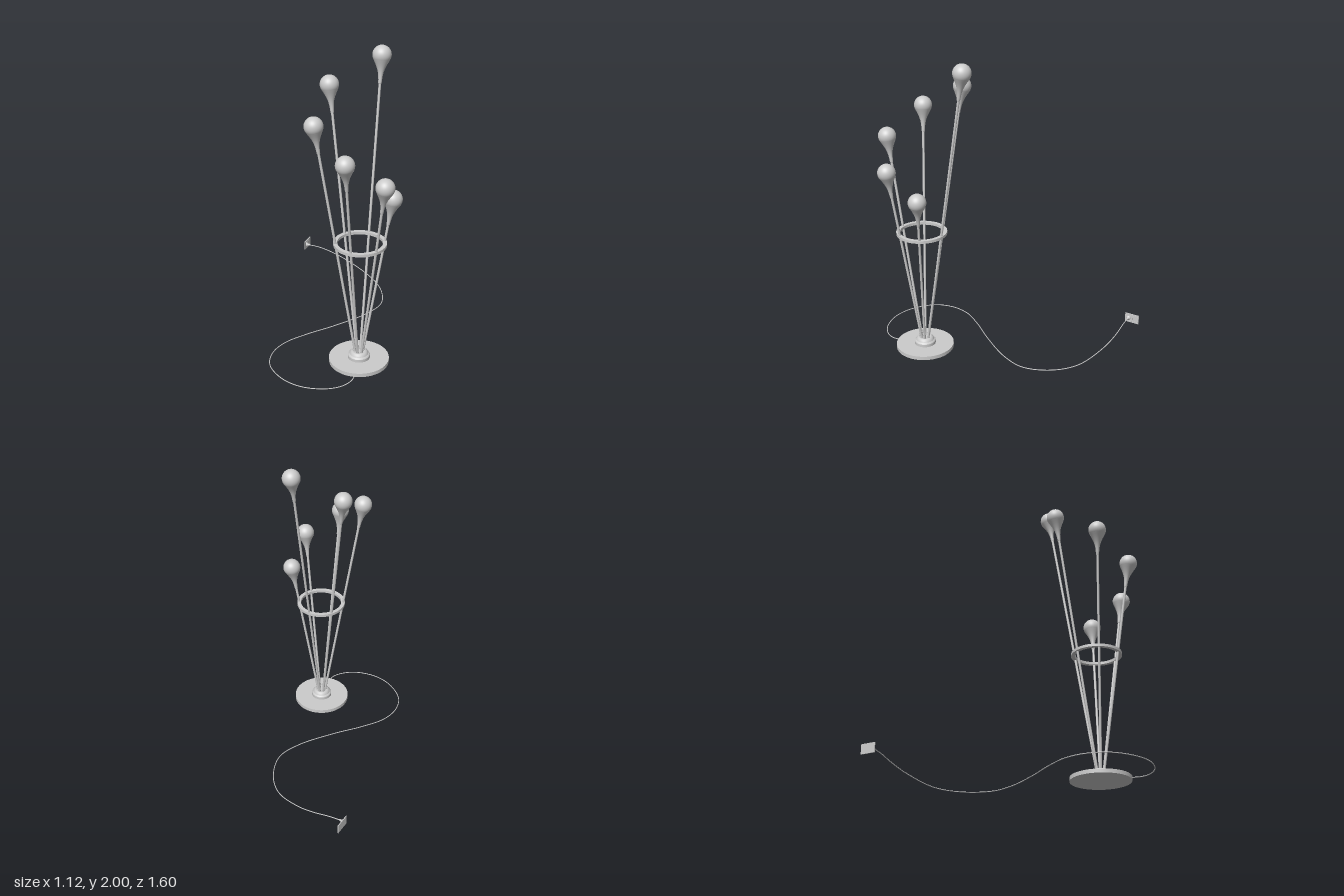
import * as THREE from 'three';

const grey = new THREE.MeshStandardMaterial({ color: 0xcccccc });
const greyDouble = new THREE.MeshStandardMaterial({ color: 0xcccccc, side: THREE.DoubleSide });

function add(parent, name, geometry, x = 0, y = 0, z = 0, material = grey) {
  const mesh = new THREE.Mesh(geometry, material);
  mesh.name = name;
  mesh.position.set(x, y, z);
  parent.add(mesh);
  return mesh;
}

// Lathe with crisp edges: each profile segment is listed as separate runs of points
function lathe(parent, name, runs, segments = 48) {
  const group = new THREE.Group();
  group.name = name;
  for (const run of runs) {
    const points = run.map(([r, y]) => new THREE.Vector2(r, y));
    add(group, name + 'Surface', new THREE.LatheGeometry(points, segments), 0, 0, 0, greyDouble);
  }
  parent.add(group);
  return group;
}

const TILT = Math.atan(0.163);
const BULB_RADIUS = 0.058;

// One leaning stem with its flared holder and globe
function makeStem(index) {
  const foot = 0.06, footRadius = 0.024;
  const height = 1.945 - index * 0.163;
  const length = (height - foot) / Math.cos(TILT);
  const angle = Math.PI / 2 + index * Math.PI / 3;

  const stem = new THREE.Group();
  stem.name = 'stem' + (index + 1);
  stem.position.set(footRadius * Math.cos(angle), foot, -footRadius * Math.sin(angle));
  stem.rotation.set(0, angle, -TILT, 'YXZ');

  add(stem, 'rod', new THREE.CylinderGeometry(0.008, 0.008, length - 0.1, 16), 0, (length - 0.1) / 2, 0);

  const holder = lathe(stem, 'flaredHolder', [[
    [0.008, -0.175], [0.0105, -0.172], [0.0115, -0.15], [0.014, -0.125], [0.019, -0.1],
    [0.027, -0.077], [0.037, -0.055], [0.045, -0.04], [0.051, -0.028],
  ]], 32);
  holder.position.y = length;

  add(stem, 'globe', new THREE.SphereGeometry(BULB_RADIUS, 32, 24), 0, length, 0);
  return stem;
}

function makeLamp() {
  const lamp = new THREE.Group();
  lamp.name = 'floorLamp';
  lamp.position.set(0.303, 0, 0.381);

  add(lamp, 'basePlate', new THREE.CylinderGeometry(0.193, 0.193, 0.025, 64), 0, 0.0145, 0);

  // Stepped hub that gathers the stems
  lathe(lamp, 'hub', [
    [[0.071, 0.026], [0.071, 0.046]],
    [[0.071, 0.046], [0.068, 0.052], [0.06, 0.056]],
    [[0.06, 0.056], [0.056, 0.066], [0.049, 0.073], [0.042, 0.075]],
    [[0.042, 0.075], [0.04, 0.07], [0, 0.07]],
  ]);

  // Flat hoop tying the stems together
  lathe(lamp, 'hoop', [
    [[0.14, 0.836], [0.165, 0.836]],
    [[0.165, 0.836], [0.165, 0.854]],
    [[0.165, 0.854], [0.14, 0.854]],
    [[0.14, 0.854], [0.14, 0.836]],
  ], 64);

  for (let i = 0; i < 6; i++) lamp.add(makeStem(i));
  return lamp;
}

// Cable snaking over the floor and rising to the wall socket
function makeCable() {
  const path = [
    [-0.535, 0.14, -0.725], [-0.45, 0.133, -0.73], [-0.34, 0.108, -0.731], [-0.2, 0.071, -0.71],
    [0, 0.022, -0.633], [0.13, 0.008, -0.506], [0.197, 0.006, -0.328], [0.15, 0.006, -0.16],
    [0, 0.006, 0.074], [-0.125, 0.006, 0.235], [-0.22, 0.006, 0.39], [-0.242, 0.006, 0.53],
    [-0.197, 0.006, 0.66], [-0.06, 0.006, 0.765], [0.087, 0.006, 0.795], [0.235, 0.006, 0.757],
    [0.315, 0.006, 0.69], [0.348, 0.01, 0.62], [0.345, 0.014, 0.55],
  ].map(p => new THREE.Vector3(...p));
  return new THREE.TubeGeometry(new THREE.CatmullRomCurve3(path), 240, 0.003, 8);
}

// Double wall socket facing +x, with the plug in its front half
function makeSocket() {
  const socket = new THREE.Group();
  socket.name = 'wallSocket';
  socket.position.set(-0.56, 0.138, -0.748);

  add(socket, 'wallPlate', new THREE.BoxGeometry(0.005, 0.064, 0.1));
  for (const side of [-1, 1]) {
    const z = side * 0.0225;
    // Raised square rim around each outlet
    for (const s of [-1, 1]) {
      add(socket, 'outletRim', new THREE.BoxGeometry(0.003, 0.003, 0.042), 0.003, s * 0.0205, z);
      add(socket, 'outletRim', new THREE.BoxGeometry(0.003, 0.041, 0.003), 0.003, 0, z + s * 0.0195);
    }
  }
  // Contacts of the free outlet
  for (const i of [-1, 0, 1]) {
    const contact = add(socket, 'contact', new THREE.CylinderGeometry(0.0025, 0.0025, 0.002, 12), 0.003, 0, -0.0225 + i * 0.01);
    contact.rotation.z = Math.PI / 2;
  }

  const plug = lathe(socket, 'plug', [
    [[0, 0], [0.016, 0]],
    [[0.016, 0], [0.016, 0.008]],
    [[0.016, 0.008], [0.011, 0.013], [0.007, 0.022], [0.0045, 0.034], [0, 0.035]],
  ], 24);
  plug.position.set(0.002, 0.001, 0.0235);
  plug.rotation.z = -Math.PI / 2;
  return socket;
}

export function createModel() {
  const model = new THREE.Group();
  model.name = 'sixGlobeFloorLamp';
  model.add(makeLamp());
  add(model, 'cable', makeCable());
  model.add(makeSocket());
  return model;
}
